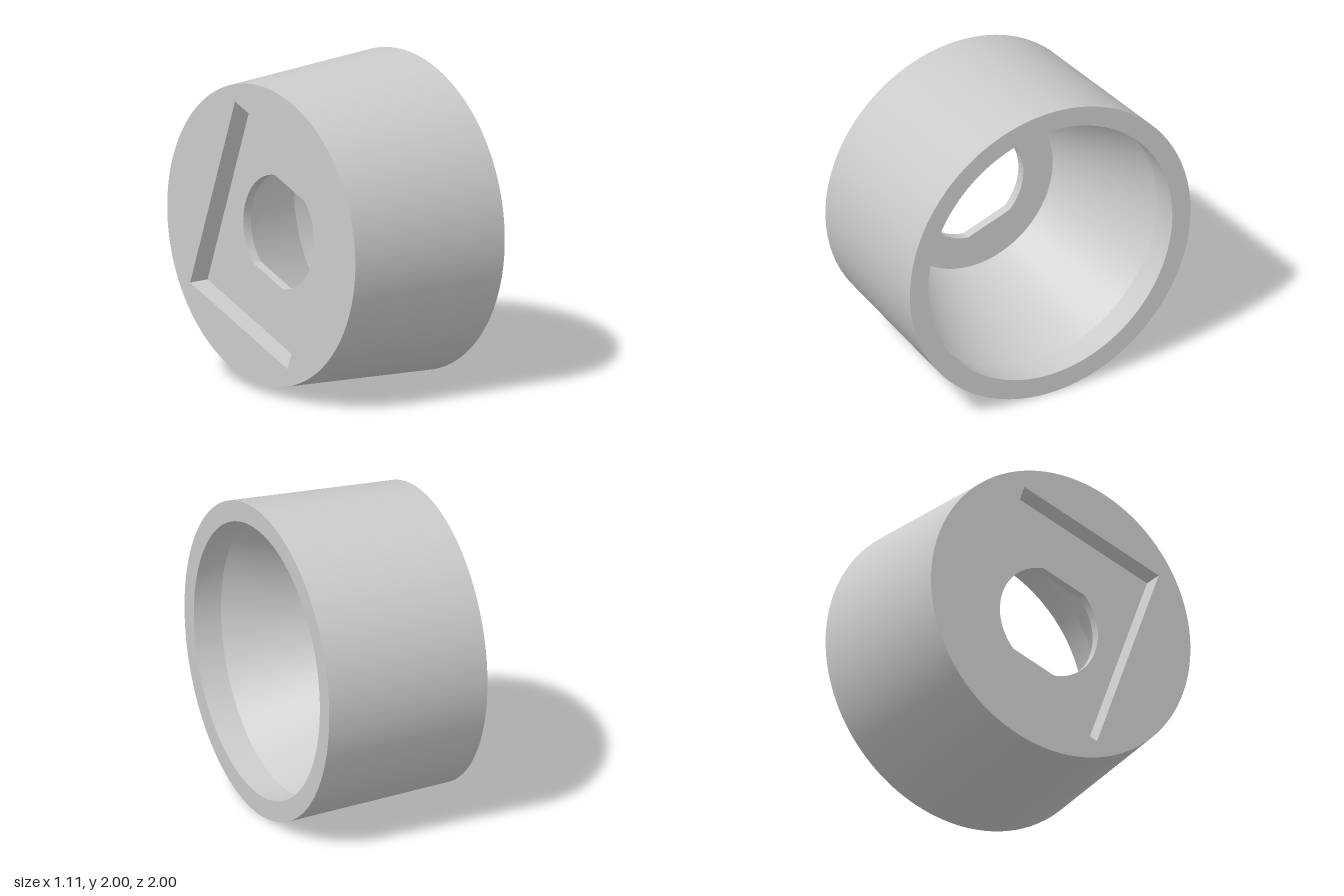
import * as THREE from 'three';
import { toCreasedNormals } from 'three/addons/utils/BufferGeometryUtils.js';

const SEG = 128;
const BACK = -0.555, FRONT = 0.555;     // ends along the cup's axis
const POCKET = -0.42, FLOOR = -0.36;    // pocket bottom and inner floor
const TURN = THREE.MathUtils.degToRad(20);

const material = new THREE.MeshStandardMaterial({ color: 0xcccccc });

// counter-clockwise contours around the axis
function arc(r, from, to, n) {
  return Array.from({ length: n + 1 }, (_, i) => {
    const a = from + (to - from) * i / n;
    return new THREE.Vector2(r * Math.cos(a), r * Math.sin(a));
  });
}
const circle = r => arc(r, 0, Math.PI * 2, SEG).slice(0, SEG);
const turned = pts => pts.map(p => p.rotateAround(new THREE.Vector2(), TURN));

// flat face at height z, optionally pierced, looking along +z or -z
function face(outline, hole, z, backward) {
  const shape = new THREE.Shape(outline);
  shape.holes.push(new THREE.Path(hole));
  const g = new THREE.ShapeGeometry(shape);
  if (backward) {
    g.index.array.reverse();
    g.computeVertexNormals();
  }
  return g.translate(0, 0, z);
}

// inward-facing wall that follows a contour from z0 to z1
function wall(contour, z0, z1) {
  const pos = [];
  contour.forEach((p, i) => {
    const q = contour[(i + 1) % contour.length];
    pos.push(q.x, q.y, z0, p.x, p.y, z0, p.x, p.y, z1);
    pos.push(q.x, q.y, z0, p.x, p.y, z1, q.x, q.y, z1);
  });
  const g = new THREE.BufferGeometry();
  g.setAttribute('position', new THREE.Float32BufferAttribute(pos, 3));
  return toCreasedNormals(g, 0.3);
}

export function createModel() {
  const model = new THREE.Group();
  model.name = 'taperedCup';
  const add = (name, geometry) => {
    const mesh = new THREE.Mesh(geometry, material);
    mesh.name = name;
    model.add(mesh);
  };

  // outer taper, rim, straight mouth and inner funnel
  const profile = [[0.94, BACK], [1, FRONT], [0.87, FRONT], [0.87, 0.37], [0.563, FLOOR]]
    .map(([r, z]) => new THREE.Vector2(r, z));
  const shell = new THREE.LatheGeometry(profile, SEG).rotateX(Math.PI / 2);
  add('shell', toCreasedNormals(shell, 0.3));

  // rectangular pocket in the closed end
  const w = 0.518, h = 0.655;
  const pocket = turned([[w, -h], [w, h], [-w, h], [-w, -h]].map(([x, y]) => new THREE.Vector2(x, y)));

  // round hole with two flats
  const r = 0.355, a = Math.asin(0.318 / r);
  const bore = turned([...arc(r, -a, a, 24), ...arc(r, Math.PI - a, Math.PI + a, 24)]);

  add('endFace', face(circle(0.94), pocket, BACK, true));
  add('pocketWalls', wall(pocket, BACK, POCKET));
  add('pocketBottom', face(pocket, bore, POCKET, true));
  add('boreWall', wall(bore, POCKET, FLOOR));
  add('innerFloor', face(circle(0.563), bore, FLOOR, false));

  // lay the axis along x with the mouth towards +x
  model.rotation.y = Math.PI / 2;
  model.position.y = 1;
  return model;
}
